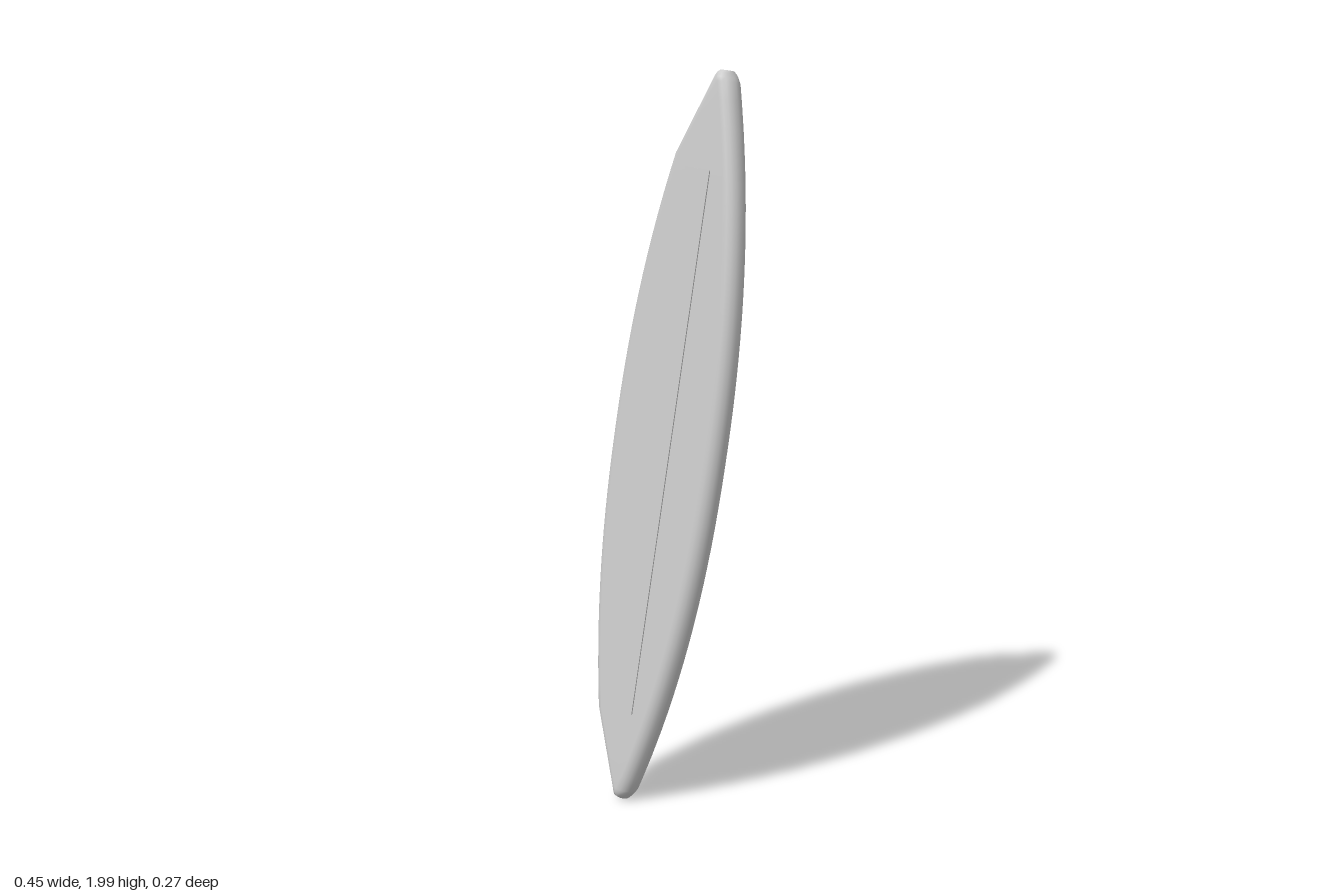
import * as THREE from 'three';

const HALF_THICK = 0.035, HALF_WIDTH = 0.215, END = 1.005, KNEE = 0.78, ARC = 8;

// Curved right-hand outline; the left one turns into straight chamfers at both ends
const curve = v => HALF_WIDTH * (1 - Math.pow(Math.abs(v) / 1.13, 2.2));
const chamfered = v => {
  const a = Math.abs(v);
  return a < KNEE ? curve(v) : THREE.MathUtils.lerp(curve(KNEE), 0, (a - KNEE) / (END - KNEE));
};

// Stadium-shaped cross-section at height v, thinner right at the tips
function section(v) {
  const gap = END - Math.abs(v);
  const k = Math.min(1, gap / 0.03);
  const t = HALF_THICK * (0.5 + 0.5 * Math.sqrt(1 - (1 - k) * (1 - k)));
  const left = -chamfered(v), right = curve(v) - 0.012 * (1 - k);
  const r = Math.min(HALF_THICK, (right - left) / 2);
  const points = [];
  for (const [centre, start] of [[right - r, -Math.PI / 2], [left + r, Math.PI / 2]]) {
    for (let i = 0; i <= ARC; i++) {
      const a = start + (i / ARC) * Math.PI;
      points.push([centre + r * Math.cos(a), v, t * Math.sin(a)]);
    }
  }
  return points;
}

function boardGeometry() {
  const stations = [];
  for (let i = -14; i <= 14; i++) stations.push((i / 14) * KNEE);
  for (const v of [0.86, 0.93, END - 0.03, END - 0.018, END - 0.007, END]) {
    stations.push(v);
    stations.unshift(-v);
  }
  const rings = stations.map(section);
  const n = rings[0].length, position = [], index = [];
  rings.forEach(ring => ring.forEach(p => position.push(...p)));
  for (let i = 0; i < rings.length - 1; i++) {
    for (let j = 0; j < n; j++) {
      const a = i * n + j, b = i * n + (j + 1) % n;
      index.push(a, a + n, b, b, a + n, b + n);
    }
  }
  // Flat end caps with their own vertices
  for (const [ring, top] of [[rings[0], false], [rings[rings.length - 1], true]]) {
    const base = position.length / 3;
    ring.forEach(p => position.push(...p));
    for (let j = 1; j < n - 1; j++) {
      index.push(base, base + (top ? j + 1 : j), base + (top ? j : j + 1));
    }
  }
  const geometry = new THREE.BufferGeometry();
  geometry.setAttribute('position', new THREE.Float32BufferAttribute(position, 3));
  geometry.setIndex(index);
  geometry.computeVertexNormals();
  return geometry;
}

export function createModel() {
  const material = new THREE.MeshStandardMaterial({ color: 0xcccccc });
  const group = new THREE.Group();
  group.name = 'surfboard';

  const board = new THREE.Mesh(boardGeometry(), material);
  board.name = 'board';

  // Flat centre stripe standing slightly proud of both faces
  const stripe = new THREE.Mesh(new THREE.BoxGeometry(0.095, 1.495, 2 * HALF_THICK + 0.006), material);
  stripe.name = 'centreStripe';

  // Lean the board back and sideways, with a slight twist about its length
  const lean = new THREE.Group();
  lean.name = 'leaningBoard';
  lean.add(board, stripe);
  const along = new THREE.Vector3(0.108, 1, -0.093).normalize();
  const normal = new THREE.Vector3(0.946, -0.074, 0.315).cross(along).normalize();
  const across = along.clone().cross(normal);
  lean.quaternion.setFromRotationMatrix(new THREE.Matrix4().makeBasis(across, along, normal));
  lean.position.set(0, 1, 0);
  group.add(lean);
  return group;
}
